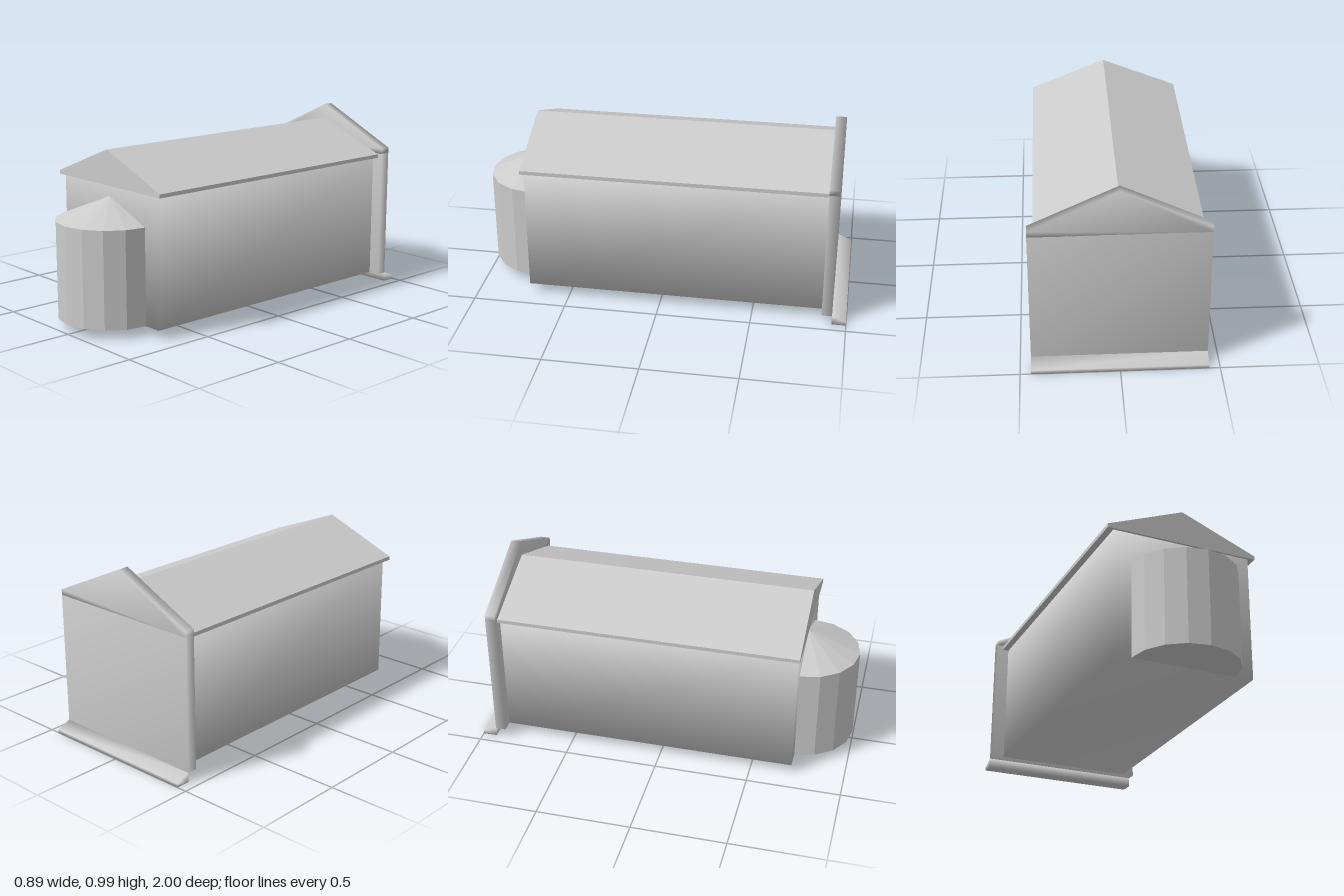
import * as THREE from 'three';
import { mergeVertices } from 'three/addons/utils/BufferGeometryUtils.js';

const smoothMat = new THREE.MeshStandardMaterial({ color: 0xcccccc });
const flatMat = new THREE.MeshStandardMaterial({ color: 0xcccccc, flatShading: true });

// Share corners so the shading runs smoothly around the whole block
function soften(geometry) {
  geometry.deleteAttribute('uv');
  geometry.deleteAttribute('normal');
  const merged = mergeVertices(geometry);
  merged.computeVertexNormals();
  return merged;
}

// Outline in x/y, extruded from z0 to z1
function prism(points, z0, z1) {
  const shape = new THREE.Shape(points.map(([x, y]) => new THREE.Vector2(x, y)));
  return new THREE.ExtrudeGeometry(shape, { depth: z1 - z0, bevelEnabled: false }).translate(0, 0, z0);
}

// Rectangular block, centred on x
function block(halfWidth, y0, y1, z0, z1) {
  return new THREE.BoxGeometry(2 * halfWidth, y1 - y0, z1 - z0)
    .translate(0, (y0 + y1) / 2, (z0 + z1) / 2);
}

export function createModel() {
  const model = new THREE.Group();
  model.name = 'chapel';
  const add = (name, geometry, smooth) => {
    const mesh = new THREE.Mesh(smooth ? soften(geometry) : geometry, smooth ? smoothMat : flatMat);
    mesh.name = name;
    model.add(mesh);
  };

  const back = -0.87;

  // Nave: walls, eaves slab and gable roof
  add('naveWalls', block(0.38, 0.05, 0.735, back, 0.72), true);
  add('eaves', block(0.415, 0.73, 0.75, back, 0.733), false);
  add('naveRoof', prism([[-0.415, 0.75], [0.415, 0.75], [0, 0.915]], back, 0.733), false);

  // Apse: eight-sided half drum with a half-cone roof
  const r = 0.283, zc = 0.717, half = [-Math.PI / 2, Math.PI];
  add('apseWall', new THREE.CylinderGeometry(r, r, 0.51, 8, 1, false, ...half)
    .translate(0, 0.305, zc), false);
  add('apseRoof', new THREE.ConeGeometry(r, 0.114, 8, 1, false, ...half)
    .translate(0, 0.617, zc), false);

  // Entrance facade with its pediment
  add('facadeWall', block(0.445, 0.05, 0.757, -0.925, back), true);
  add('pediment', prism([[-0.445, 0.755], [0.445, 0.755], [0.445, 0.786], [0, 0.994], [-0.445, 0.786]],
    -0.925, back), true);

  // Sloped entrance step: profile runs backwards, extruded across the width
  add('entranceStep', prism([[0.925, 0], [1, 0], [1, 0.02], [0.925, 0.05]], -0.445, 0.445)
    .rotateY(Math.PI / 2), true);

  return model;
}
